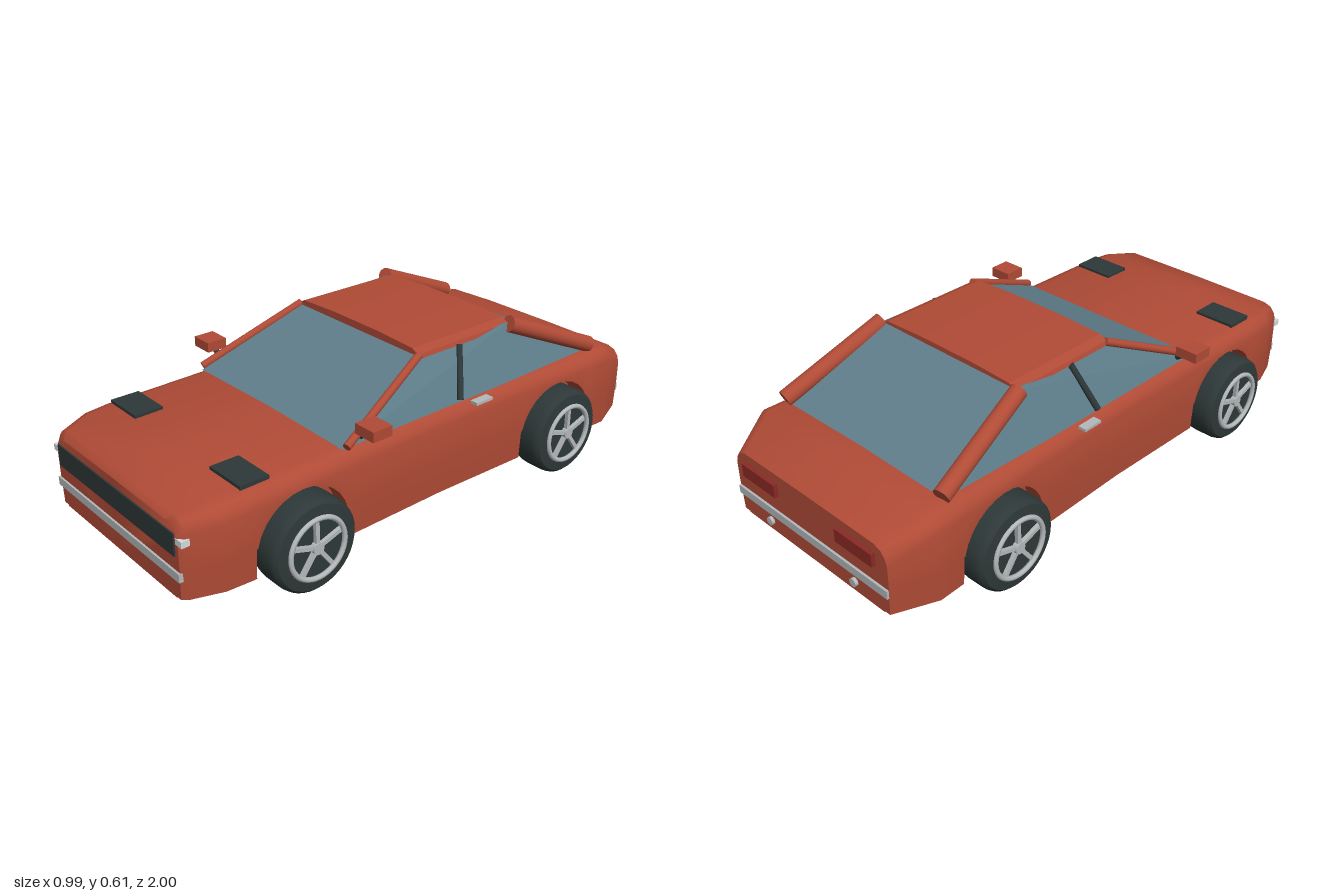
import * as THREE from 'three';
import { toCreasedNormals } from 'three/addons/utils/BufferGeometryUtils.js';
import { ConvexGeometry } from 'three/addons/geometries/ConvexGeometry.js';

const material = (name, color) => Object.assign(new THREE.MeshStandardMaterial({ color }), { name });
const V = (x, y, z) => new THREE.Vector3(x, y, z);

// Wheel placement
const WHEEL_Z = [0.585, -0.565], WHEEL_R = 0.16, ARCH_R = 0.178;

// Body outline: z, half width, top height
const OUTLINE = [
  [0.993, 0.365, 0.345], [0.975, 0.38, 0.365], [0.87, 0.416, 0.383], [0.78, 0.422, 0.388],
  [0.4, 0.42, 0.396], [0, 0.412, 0.4], [-0.4, 0.42, 0.402], [-0.84, 0.434, 0.402], [-0.985, 0.372, 0.335],
];

function outlineAt(z) {
  let i = 0;
  while (i < OUTLINE.length - 2 && z < OUTLINE[i + 1][0]) i++;
  const [a, b] = [OUTLINE[i], OUTLINE[i + 1]];
  const t = (a[0] - z) / (a[0] - b[0]);
  return [a[1] + (b[1] - a[1]) * t, a[2] + (b[2] - a[2]) * t];
}

// Cross-section ring, counter-clockwise from the bottom centre; h is the sill or arch height
function section(z, h) {
  const [w, top] = outlineAt(z);
  const inner = Math.min(0.355, w - 0.03);
  const half = [
    [inner, 0.09], [inner, h], [w - 0.005, h], [w, Math.max(h, 0.2)], [w, Math.max(h, top - 0.055)],
    [w - 0.008, top - 0.03], [w - 0.025, top - 0.01], [w - 0.055, top],
  ];
  const left = half.map(([x, y]) => [-x, y, z]).reverse();
  return [[0, 0.09, z], ...half.map(([x, y]) => [x, y, z]), [0, top + 0.002, z], ...left];
}

// Lofted shell with round wheel arches
function bodyGeometry() {
  const sill = 0.094;
  const stations = OUTLINE.map(([z]) => [z, sill])
    .filter(([z]) => WHEEL_Z.every((c) => Math.abs(z - c) > ARCH_R));
  for (const c of WHEEL_Z) {
    stations.push([c + ARCH_R + 0.0005, sill], [c - ARCH_R - 0.0005, sill]);
    for (let i = 0; i <= 14; i++) {
      const a = (i / 14) * Math.PI;
      stations.push([c + Math.cos(a) * ARCH_R, WHEEL_R + Math.sin(a) * ARCH_R]);
    }
  }
  stations.sort((a, b) => b[0] - a[0]);
  const rings = stations.map(([z, h]) => section(z, h));
  const n = rings[0].length, pos = rings.flat(2), idx = [];
  for (let i = 0; i < rings.length - 1; i++) {
    for (let j = 0; j < n; j++) {
      const a = i * n + j, b = i * n + (j + 1) % n;
      idx.push(a, a + n, b, b, a + n, b + n);
    }
  }
  // Nose and tail caps
  const last = (rings.length - 1) * n;
  for (let j = 1; j < n - 1; j++) idx.push(0, j, j + 1, last, last + j + 1, last + j);
  const g = new THREE.BufferGeometry();
  g.setAttribute('position', new THREE.Float32BufferAttribute(pos, 3));
  g.setIndex(idx);
  return toCreasedNormals(g, 0.7);
}

export function createModel() {
  const car = new THREE.Group();
  car.name = 'car';
  const paint = material('red paint', 0xb04b36);
  const glass = material('window glass', 0x5f7f8c);
  const dark = material('dark rubber and trim', 0x2e3838);
  const metal = material('bright metal', 0xb4b9bb);
  const tail = material('tail lamp red', 0x8c2a26);
  const clear = material('clear lamp', 0xd8dcdc);

  const add = (name, geometry, mat, parent = car) => {
    const mesh = new THREE.Mesh(geometry, mat);
    mesh.name = name;
    parent.add(mesh);
    return mesh;
  };
  // Box given by its limits on each axis
  const box = (name, mat, [x0, x1], [y0, y1], [z0, z1]) =>
    add(name, new THREE.BoxGeometry(x1 - x0, y1 - y0, z1 - z0), mat)
      .position.set((x0 + x1) / 2, (y0 + y1) / 2, (z0 + z1) / 2);
  // Round bar between two points
  const bar = (name, mat, a, b, r, parent = car, sides = 14) => {
    const m = add(name, new THREE.CylinderGeometry(r, r, a.distanceTo(b), sides), mat, parent);
    m.position.copy(a).add(b).multiplyScalar(0.5);
    m.quaternion.setFromUnitVectors(V(0, 1, 0), b.clone().sub(a).normalize());
  };
  const span = (s, a, b) => (s > 0 ? [a, b] : [-b, -a]);

  add('body', bodyGeometry(), paint);
  box('underPlate', dark, [-0.295, 0.295], [0.068, 0.095], [-0.83, 0.85]);

  // Glasshouse and roof
  const cabin = [], roof = [];
  for (const s of [-1, 1]) {
    cabin.push(V(s * 0.39, 0.395, 0.41), V(s * 0.31, 0.575, 0.02), V(s * 0.315, 0.582, -0.4), V(s * 0.38, 0.395, -0.78));
    for (const z of [0.025, -0.4]) roof.push(V(s * 0.32, 0.565, z), V(s * 0.315, 0.58, z), V(s * 0.285, 0.593, z), V(s * 0.12, 0.6, z));
  }
  add('windows', new ConvexGeometry(cabin), glass);
  add('roof', new ConvexGeometry(roof), paint);

  // Front and rear trim
  box('grille', dark, [-0.35, 0.35], [0.24, 0.318], [0.97, 0.998]);
  box('frontBumperStrip', metal, [-0.37, 0.37], [0.16, 0.19], [0.975, 1]);
  box('rearBumperStrip', metal, [-0.37, 0.37], [0.16, 0.19], [-0.993, -0.97]);

  for (const s of [-1, 1]) {
    // Pillars
    bar('frontPillar', paint, V(s * 0.4, 0.405, 0.4), V(s * 0.313, 0.577, 0.02), 0.014);
    bar('middlePillar', dark, V(s * 0.392, 0.405, -0.1), V(s * 0.32, 0.568, -0.157), 0.011);
    bar('rearPillar', paint, V(s * 0.322, 0.58, -0.395), V(s * 0.378, 0.417, -0.775), 0.03);

    // Mirrors and door handles
    box('mirror', paint, span(s, 0.405, 0.49), [0.445, 0.481], [0.293, 0.37]);
    bar('mirrorStalk', dark, V(s * 0.385, 0.415, 0.33), V(s * 0.43, 0.45, 0.33), 0.01);
    box('doorHandle', metal, span(s, 0.405, 0.436), [0.388, 0.398], [-0.21, -0.135]);

    // Lamps and exhausts
    box('headlampCover', dark, span(s, 0.218, 0.375), [0.38, 0.4], [0.675, 0.78]);
    box('cornerLamp', clear, span(s, 0.355, 0.387), [0.283, 0.305], [0.965, 0.994]);
    box('tailLamp', tail, span(s, 0.15, 0.32), [0.255, 0.303], [-1, -0.97]);
    bar('exhaust', metal, V(s * 0.21, 0.128, -0.96), V(s * 0.21, 0.128, -0.996), 0.015);

    // Wheels: local y is the axle, pointing outward
    const tyre = [[0.06, 0], [0.148, 0], [0.158, 0.012], [0.16, 0.03], [0.16, 0.095], [0.156, 0.112], [0.146, 0.122], [0.112, 0.126], [0.106, 0.112], [0, 0.112]];
    for (const z of WHEEL_Z) {
      const wheel = new THREE.Group();
      wheel.name = 'wheel';
      wheel.position.set(s * 0.36, WHEEL_R, z);
      wheel.rotation.z = -s * Math.PI / 2;
      car.add(wheel);
      const profile = [[0, 0], ...tyre].map(([r, y]) => new THREE.Vector2(r, y));
      add('tyre', toCreasedNormals(new THREE.LatheGeometry(profile, 40), 0.6), dark, wheel);
      const rim = add('rim', new THREE.TorusGeometry(0.104, 0.009, 8, 40), metal, wheel);
      rim.rotation.x = Math.PI / 2;
      rim.position.y = 0.127;
      bar('hub', metal, V(0, 0.11, 0), V(0, 0.132, 0), 0.02, wheel, 20);
      for (let i = 0; i < 5; i++) {
        const a = (i / 5) * Math.PI * 2;
        // Spokes start from straight up
        const spoke = add('spoke', new THREE.BoxGeometry(0.092, 0.014, 0.014), metal, wheel);
        spoke.position.set(-s * Math.cos(a) * 0.056, 0.12, Math.sin(a) * 0.056);
        spoke.rotation.y = Math.atan2(-Math.sin(a), -s * Math.cos(a));
      }
    }
  }
  return car;
}
